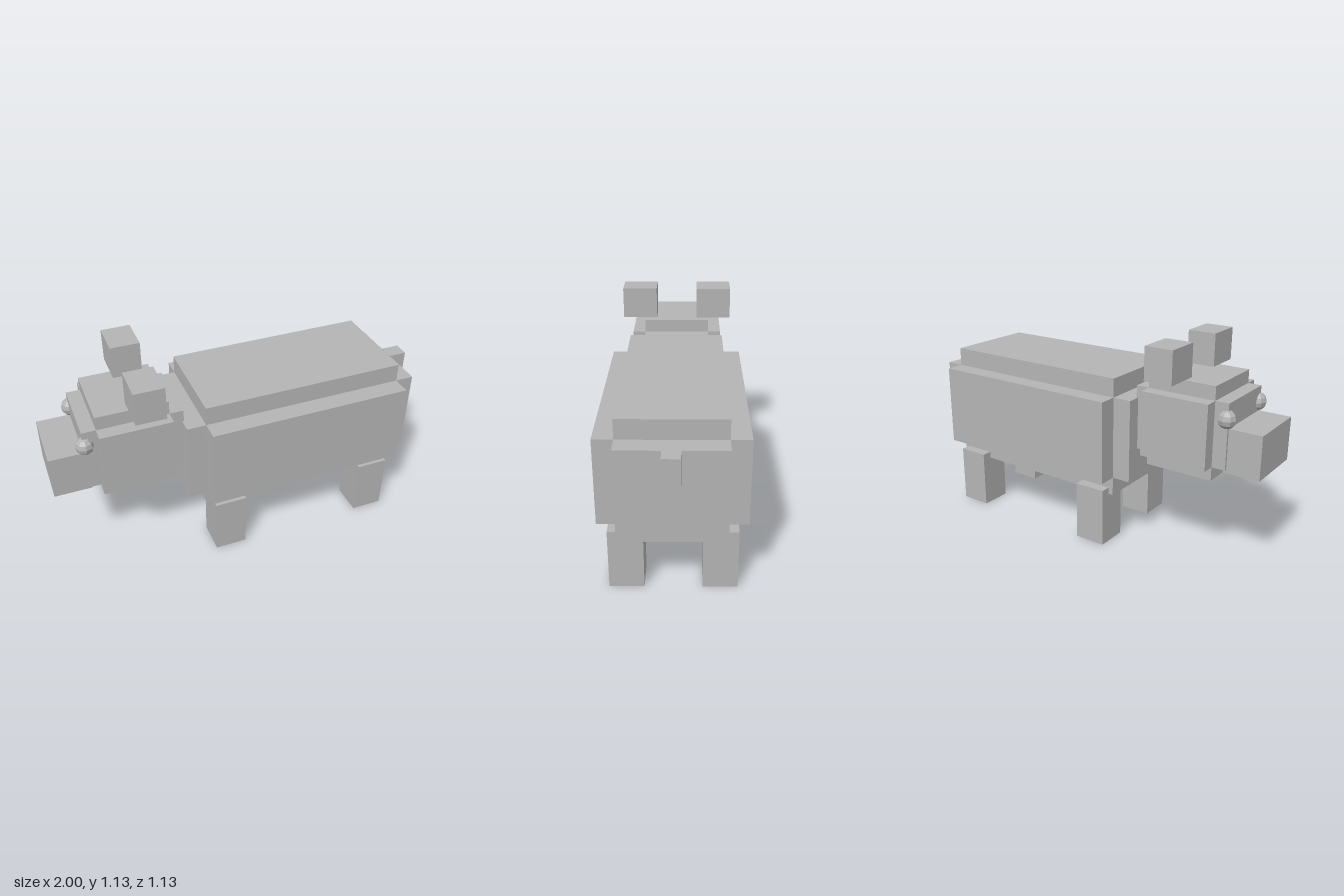
import * as THREE from 'three';

const AXIS = 0.057; // sideways offset of the animal's centreline in the turned frame

export function createModel() {
  const model = new THREE.Group();
  model.name = 'blockyPig';
  // the animal stands turned by 20 degrees; along its length, -x is the snout
  model.rotation.y = THREE.MathUtils.degToRad(20);

  const grey = new THREE.MeshStandardMaterial({ color: 0xb4b4b4, flatShading: true });
  grey.name = 'grey';

  const add = (name, geometry, x, y, z) => {
    const mesh = new THREE.Mesh(geometry, grey);
    mesh.name = name;
    mesh.position.set(x, y, AXIS + z);
    model.add(mesh);
  };
  const box = (name, w, h, d, x, y, z = 0) => add(name, new THREE.BoxGeometry(w, h, d), x, y, z);

  // stepped block: a core box extended by a slab in each of the three directions
  const steppedBlock = (name, w, h, d, step, x, y) => {
    box(name + 'Long', w + 2 * step, h, d, x, y);
    box(name + 'Tall', w, h + 2 * step, d, x, y);
    box(name + 'Wide', w, h, d + 2 * step, x, y);
  };

  // body and head
  steppedBlock('body', 1.086, 0.443, 0.515, 0.1, 0.294, 0.603);
  steppedBlock('head', 0.366, 0.34, 0.366, 0.072, -0.595, 0.718);

  // snout and tail
  box('snout', 0.19, 0.228, 0.34, -0.928, 0.645);
  box('tail', 0.1, 0.232, 0.085, 0.977, 0.718);

  // paired parts
  for (const side of [-1, 1]) {
    const label = side < 0 ? 'right' : 'left';
    box(label + 'Ear', 0.153, 0.173, 0.195, -0.536, 1.047, side * 0.214);
    add(label + 'Eye', new THREE.SphereGeometry(0.047, 8, 6), -0.84, 0.806, side * 0.174);
    box(label + 'FrontLeg', 0.172, 0.318, 0.172, -0.137, 0.159, side * 0.228);
    box(label + 'BackLeg', 0.172, 0.318, 0.172, 0.725, 0.159, side * 0.228);
  }

  const root = new THREE.Group();
  root.name = 'animal';
  root.add(model);
  return root;
}
